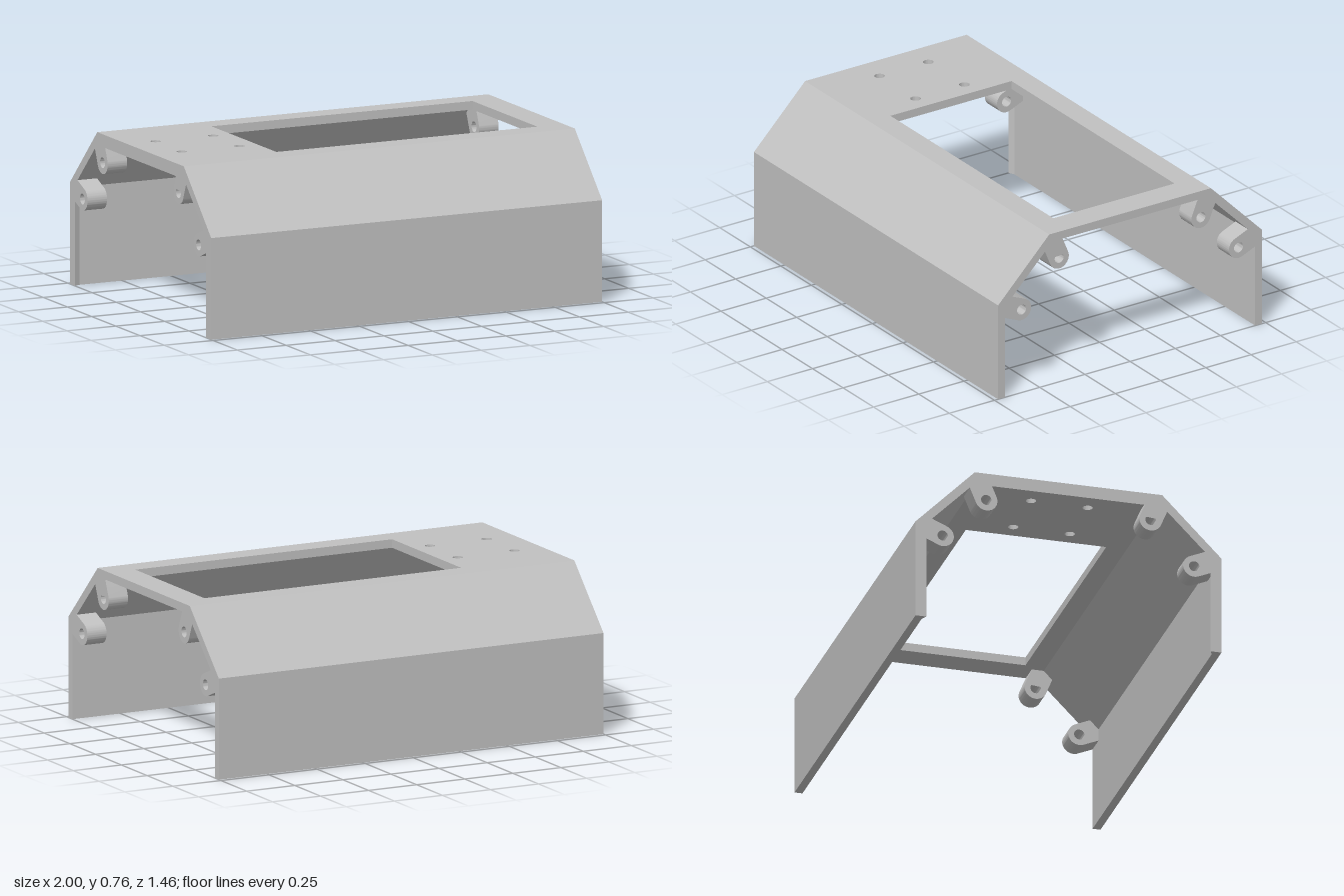
import * as THREE from 'three';
import { toCreasedNormals } from 'three/addons/utils/BufferGeometryUtils.js';

const grey = new THREE.MeshStandardMaterial({ color: 0xc0c0c0 });
grey.name = 'plain grey';

// Extrude a (z, y) section along x, starting at x0.
function alongX(shape, x0, length) {
  const geo = new THREE.ExtrudeGeometry(shape, { depth: length, bevelEnabled: false, curveSegments: 24 });
  return toCreasedNormals(geo.rotateY(Math.PI / 2).translate(x0, 0, 0), 0.5);
}

const polygon = (points) => new THREE.Shape(points.map(([a, b]) => new THREE.Vector2(a, b)));

function circleHole(x, y, r) {
  const path = new THREE.Path();
  path.absarc(x, y, r, 0, Math.PI * 2, true);
  return path;
}

// Screw boss section: a slot running from a shell corner to a rounded, drilled end.
function bossShape(side, center, corner) {
  const c = new THREE.Vector2(-side * center[0], center[1]);
  const k = new THREE.Vector2(-side * corner[0], corner[1]);
  const angle = k.clone().sub(c).angle();
  const dir = new THREE.Vector2(Math.cos(angle), Math.sin(angle));
  const perp = new THREE.Vector2(-dir.y, dir.x);
  const r = 0.053;
  const at = (d, w) => c.clone().addScaledVector(dir, d).addScaledVector(perp, w);
  const shape = new THREE.Shape();
  shape.absarc(c.x, c.y, r, angle + Math.PI / 2, angle + Math.PI * 1.5, false);
  for (const p of [at(0.1, -r), at(0.125, 0), at(0.1, r)]) shape.lineTo(p.x, p.y);
  shape.closePath();
  shape.holes.push(circleHole(c.x, c.y, 0.025));
  return shape;
}

export function createModel() {
  const model = new THREE.Group();
  model.name = 'enclosureCover';
  const add = (name, geometry) => {
    const mesh = new THREE.Mesh(geometry, grey);
    mesh.name = name;
    model.add(mesh);
  };

  // Roof plate with the large window and four screw holes
  const roof = polygon([[-1, -0.43], [1, -0.43], [1, 0.43], [-1, 0.43]]);
  roof.holes.push(new THREE.Path(
    [[-0.47, -0.333], [-0.47, 0.337], [0.865, 0.337], [0.865, -0.333]].map(([x, y]) => new THREE.Vector2(x, y))));
  for (const x of [-0.855, -0.56])
    for (const y of [-0.133, 0.137]) roof.holes.push(circleHole(x, y, 0.024));
  const roofGeo = new THREE.ExtrudeGeometry(roof, { depth: 0.04, bevelEnabled: false, curveSegments: 16 });
  add('roof', toCreasedNormals(roofGeo.rotateX(-Math.PI / 2).translate(0, 0.72, 0), 0.5));

  // Sloped lip under the roof at one end
  const lip = polygon([[-1, 0.72], [-1, 0.7], [-0.97, 0.72]]);
  add('roofLip', new THREE.ExtrudeGeometry(lip, { depth: 0.86, bevelEnabled: false }).translate(0, 0, -0.43));

  for (const side of [1, -1]) {
    const label = side > 0 ? 'front' : 'back';

    // Upright wall and slanted shoulder
    const section = [[0.73, 0], [0.73, 0.475], [0.447, 0.76], [0.43, 0.76], [0.43, 0.72], [0.692, 0.458], [0.692, 0]];
    add(label + 'Wall', alongX(polygon(section.map(([z, y]) => [-side * z, y])), -1, 2));

    // Sloped lip inside the wall at one end
    const wallLip = polygon([[-1, -side * 0.692], [-1, -side * 0.678], [-0.97, -side * 0.692]]);
    add(label + 'WallLip', new THREE.ExtrudeGeometry(wallLip, { depth: 0.45, bevelEnabled: false }).rotateX(-Math.PI / 2));

    // Screw bosses flush with both ends
    for (const x0 of [-1, 0.9]) {
      add(label + 'UpperBoss', alongX(bossShape(side, [0.392, 0.627], [0.447, 0.76]), x0, 0.1));
      add(label + 'LowerBoss', alongX(bossShape(side, [0.6, 0.42], [0.73, 0.475]), x0, 0.1));
    }
  }
  return model;
}
